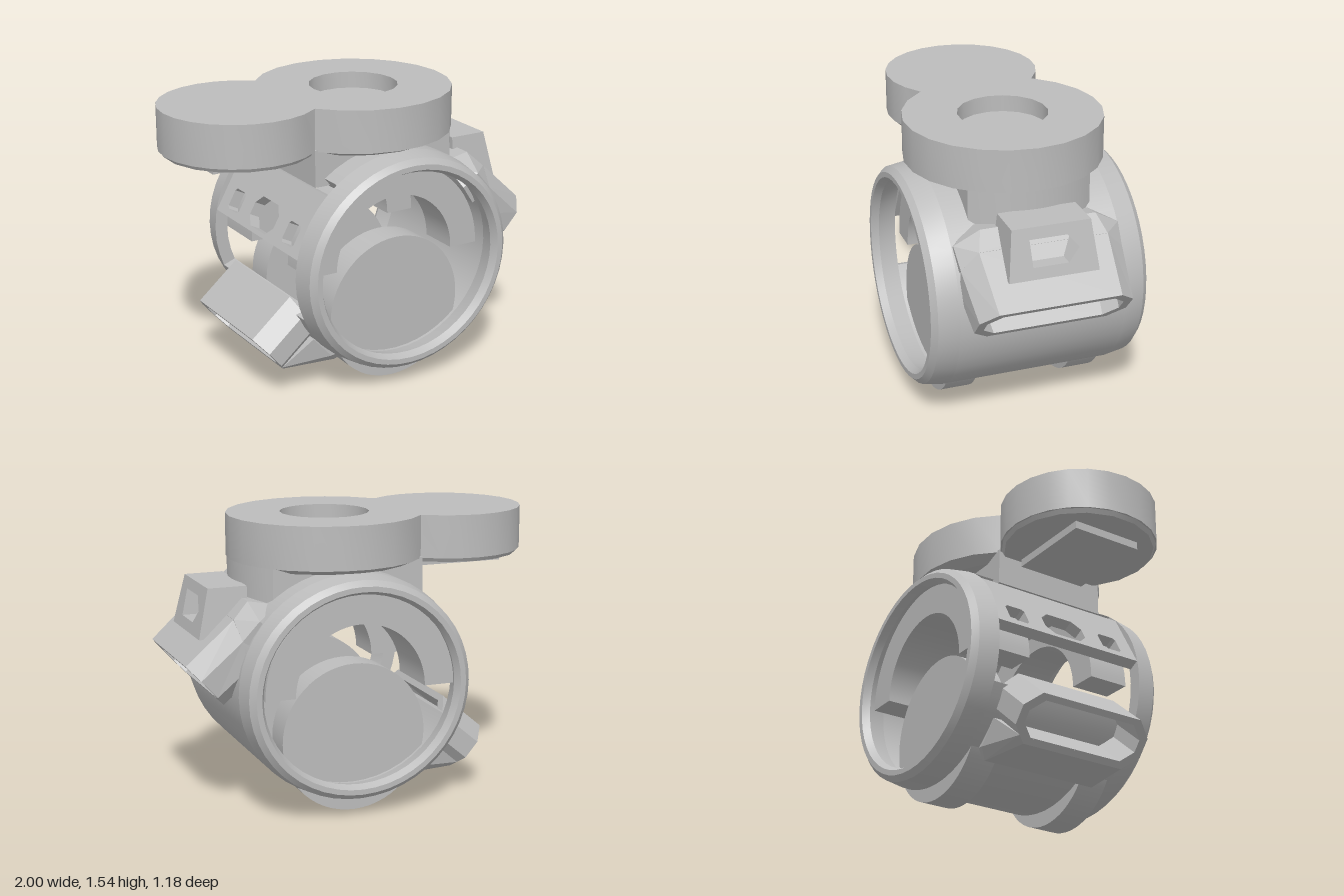
import * as THREE from 'three';
import { toCreasedNormals } from 'three/addons/utils/BufferGeometryUtils.js';
import { ConvexGeometry } from 'three/addons/geometries/ConvexGeometry.js';

const grey = new THREE.MeshStandardMaterial({ color: 0xbcbcbc });
grey.name = 'plain grey';
const rad = THREE.MathUtils.degToRad;

function add(parent, name, geometry) {
  const mesh = new THREE.Mesh(geometry, grey);
  mesh.name = name;
  parent.add(mesh);
  return mesh;
}

function extrude(shape, depth, curveSegments = 12) {
  return new THREE.ExtrudeGeometry(shape, { depth, bevelEnabled: false, curveSegments });
}

// Part of a thick ring around the z axis
function ringSector(r0, r1, a0, a1, z0, z1) {
  const s = new THREE.Shape();
  s.absarc(0, 0, r1, rad(a0), rad(a1), false);
  s.absarc(0, 0, r0, rad(a1), rad(a0), true);
  return toCreasedNormals(extrude(s, z1 - z0, 19).translate(0, 0, z0), 0.6);
}

// Rectangle with cut corners
function cutRect(w, h, c, Type = THREE.Shape, x = 0, y = 0) {
  const p = [[-w + c, -h], [w - c, -h], [w, -h + c], [w, h - c], [w - c, h], [-w + c, h], [-w, h - c], [-w, -h + c]];
  return new Type(p.map(([a, b]) => new THREE.Vector2(a + x, b + y)));
}

// Turns a part so its z axis points along an angle in the front plane
function aim(mesh, angle, x, y) {
  const c = Math.cos(rad(angle)), s = Math.sin(rad(angle));
  mesh.quaternion.setFromRotationMatrix(new THREE.Matrix4().makeBasis(
    new THREE.Vector3(0, 0, -1), new THREE.Vector3(-s, c, 0), new THREE.Vector3(c, s, 0)));
  mesh.position.set(x, y, 0);
}

// Convex block, mirrored in z, from [x, y, half width] corners
function block(corners) {
  return new ConvexGeometry(corners.flatMap(([x, y, z]) => [new THREE.Vector3(x, y, z), new THREE.Vector3(x, y, -z)]));
}

// Open sleeve with its mouth at the given point; the inner end widens and is cut aslant to meet the drum
function sleeve(parent, name, angle, x, y, w, h, depth, flare, slant) {
  const s = cutRect(w, h, 0.085);
  s.holes.push(cutRect(w - 0.045, h - 0.035, 0.07, THREE.Path));
  const g = extrude(s, depth).translate(0, 0, -depth);
  const p = g.attributes.position;
  for (let i = 0; i < p.count; i++) {
    if (p.getZ(i) < -0.01) p.setXYZ(i, p.getX(i) * flare, p.getY(i), -depth - p.getY(i) * slant);
  }
  g.computeVertexNormals();
  aim(add(parent, name, g), angle, x, y);
}

export function createModel() {
  const model = new THREE.Group();
  model.name = 'housing';

  // Hollow drum with a side opening
  const drum = new THREE.Group();
  drum.name = 'drum';
  drum.position.set(0.13, 0.685, 0);
  drum.scale.x = 1.05;
  model.add(drum);
  add(drum, 'drumWall', ringSector(0.53, 0.6, 202.5, 487.5, -0.45, 0.45));
  const rim = [[0.53, 0.45], [0.6, 0.45], [0.582, 0.56], [0.553, 0.59], [0.525, 0.59], [0.505, 0.55], [0.53, 0.45]];
  for (const side of [0, 1]) {
    const g = new THREE.LatheGeometry(rim.map(([r, z]) => new THREE.Vector2(r, z)), 48);
    g.rotateX(Math.PI / 2);
    add(drum, 'drumRim', toCreasedNormals(g, 0.4)).rotation.y = side * Math.PI;
  }

  // Side panel with two square windows and a notch
  const panel = cutRect(0.45, 0.18, 0.001);
  for (const s of [-1, 1]) panel.holes.push(cutRect(0.06, 0.06, 0.015, THREE.Path, s * 0.3, 0.08));
  panel.holes.push(cutRect(0.13, 0.085, 0.05, THREE.Path, 0, 0.07));
  aim(add(drum, 'windowPanel', extrude(panel, 0.06)), 152, 0.51 * Math.cos(rad(152)), 0.51 * Math.sin(rad(152)));

  // Inner arches
  for (const [z0, z1] of [[-0.53, -0.2], [0.2, 0.43]]) {
    add(model, 'innerArch', ringSector(0.36, 0.525, 0, 180, z0, z1)).position.set(0.12, 0.67, 0);
  }

  // Solid wheels
  for (const s of [-1, 1]) {
    const g = new THREE.CylinderGeometry(0.4, 0.4, 0.165, 56);
    g.rotateX(Math.PI / 2);
    add(model, 'wheel', g).position.set(0.12, 0.4, s * 0.35);
  }

  // Two-lobed top plate with a round recess
  const top = new THREE.Shape();
  top.absarc(0.12, 0, 0.53, rad(-143), rad(143), false);
  top.absarc(-0.58, 0, 0.42, rad(50), rad(310), false);
  top.holes.push(new THREE.Path().absarc(0.12, 0, 0.24, 0, Math.PI * 2, true));
  const topGeometry = extrude(top, 0.23, 9);
  topGeometry.rotateX(-Math.PI / 2);
  add(model, 'topPlate', toCreasedNormals(topGeometry, 0.45)).position.y = 1.31;
  add(model, 'recessFloor', new THREE.CylinderGeometry(0.25, 0.25, 0.15, 18)).position.set(0.12, 1.375, 0);
  add(model, 'topPlateSkirt', new THREE.CylinderGeometry(0.525, 0.46, 0.03, 18)).position.set(0.12, 1.295, 0);
  add(model, 'lobeUnderside', new THREE.CylinderGeometry(0.415, 0.4, 0.025, 18)).position.set(-0.58, 1.3, 0);
  add(model, 'lobePad', new THREE.BoxGeometry(0.5, 0.05, 0.4)).position.set(-0.58, 1.27, 0);

  // Neck between drum and top plate
  const neck = new THREE.Shape();
  neck.absarc(0, 0, 0.525, rad(-39), rad(39), false);
  neck.lineTo(-0.43, 0.33);
  neck.lineTo(-0.43, -0.33);
  const neckGeometry = extrude(neck, 0.2, 8);
  neckGeometry.rotateX(-Math.PI / 2);
  add(model, 'neck', toCreasedNormals(neckGeometry, 0.45)).position.set(0.12, 1.12, 0);

  // Upper side pod, hollow from its mouth to the drum
  const leftPod = new THREE.Group();
  leftPod.name = 'upperPod';
  model.add(leftPod);
  sleeve(leftPod, 'podMouth', -42, 0.9, 0.73, 0.41, 0.148, 0.25, 1.06, 0.6);
  add(leftPod, 'podShoulder', block([[0.746, 1.067, 0.344], [0.729, 0.97, 0.434], [0.66, 1.15, 0.31], [0.64, 1.07, 0.445],
    [0.5, 1.12, 0.31], [0.55, 1, 0.44], [0.62, 0.9, 0.43]]));

  // Window box on the upper pod
  const frame = new THREE.Shape([[-0.24, 0.95], [0.24, 0.95], [0.21, 1.21], [-0.21, 1.21]].map(p => new THREE.Vector2(...p)));
  frame.holes.push(new THREE.Path([[-0.14, 1.08], [-0.08, 1.01], [0.11, 1.01], [0.12, 1.15], [-0.08, 1.15]]
    .map(([z, y]) => new THREE.Vector2(-z, y))));
  const frameGeometry = extrude(frame, 0.25);
  // Lean the outer face
  const p = frameGeometry.attributes.position;
  for (let i = 0; i < p.count; i++) {
    if (p.getZ(i) > 0.1) p.setZ(i, 0.27 - (p.getY(i) - 0.95) * 0.23);
  }
  frameGeometry.computeVertexNormals();
  frameGeometry.rotateY(Math.PI / 2);
  add(leftPod, 'windowBox', frameGeometry).position.x = 0.63;

  // Lower side pod, hollow, with a flat underside
  const rightPod = new THREE.Group();
  rightPod.name = 'lowerPod';
  model.add(rightPod);
  sleeve(rightPod, 'podMouth', -139.5, -0.59, 0.235, 0.39, 0.139, 0.27, 1, -0.2);
  add(rightPod, 'podUnderside', block([[-0.5, 0.13, 0.305], [-0.525, 0.159, 0.345], [-0.36, 0.3, 0.39],
    [-0.2, 0.13, 0.34], [-0.25, 0.18, 0.39], [-0.12, 0.2, 0.38]]));

  return model;
}
